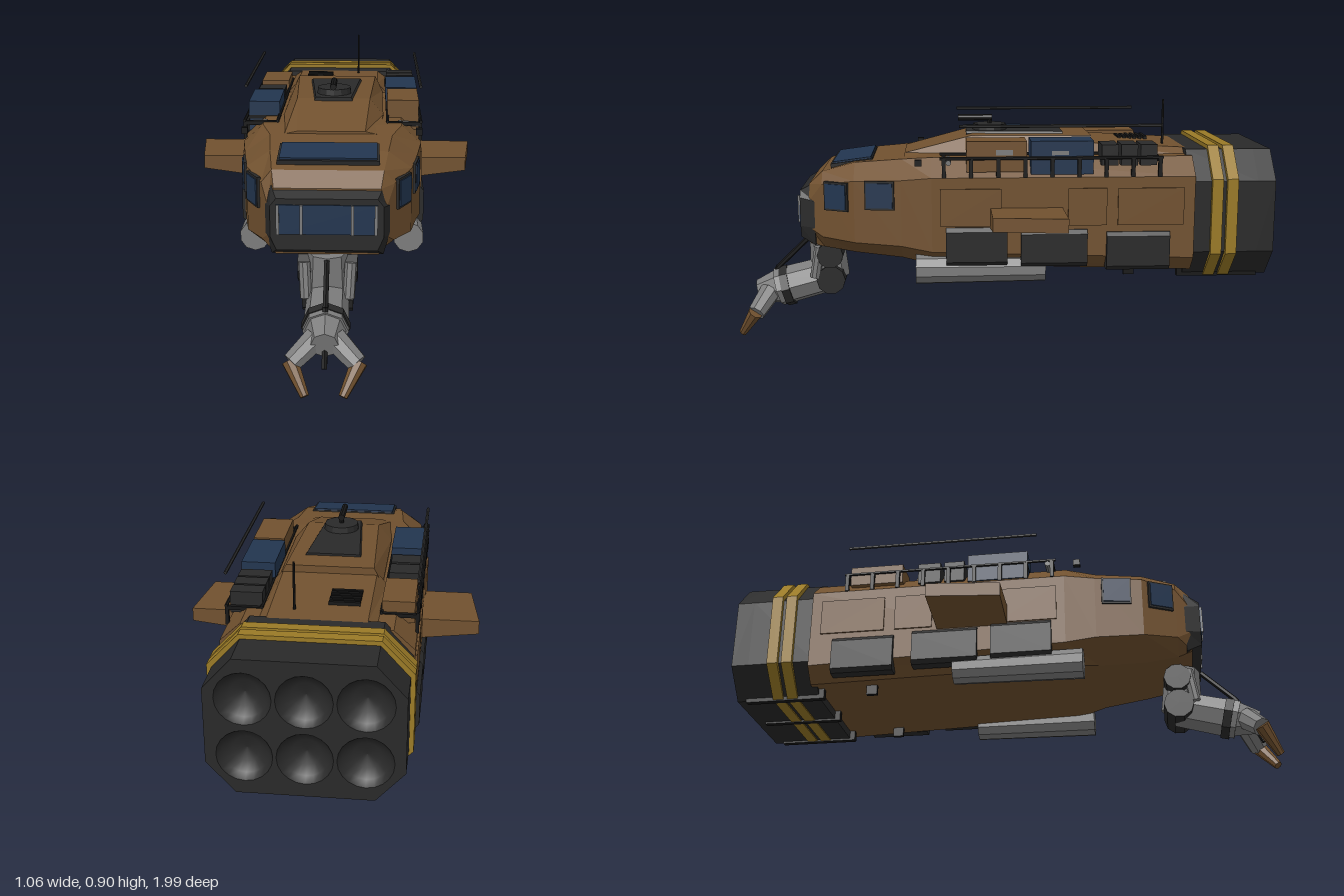
import * as THREE from 'three';

const mat = (name, color, side = THREE.FrontSide) => {
  const m = new THREE.MeshStandardMaterial({ color, side });
  m.name = name;
  return m;
};

export function createModel() {
  const root = new THREE.Group();
  root.name = 'utilityShip';
  const brown = mat('hull brown', 0x71512f);
  const dark = mat('dark panel', 0x292929, THREE.DoubleSide);
  const black = mat('black', 0x161616);
  const blue = mat('blue', 0x22354f);
  const grey = mat('metal grey', 0x7c7c7c);
  const yellow = mat('yellow', 0x9a7a26);

  // faceted normals without touching the material
  const flat = (g) => {
    const f = g.index ? g.toNonIndexed() : g;
    f.computeVertexNormals();
    return f;
  };
  const add = (name, geo, m, parent = root) => {
    const mesh = new THREE.Mesh(geo, m);
    mesh.name = name;
    parent.add(mesh);
    return mesh;
  };
  // box from its min and max along each axis
  const box = (name, m, [x0, x1], [y0, y1], [z0, z1]) => {
    const b = add(name, new THREE.BoxGeometry(Math.abs(x1 - x0), y1 - y0, z1 - z0), m);
    b.position.set((x0 + x1) / 2, (y0 + y1) / 2, (z0 + z1) / 2);
    return b;
  };
  // tapered prism between two points
  const strut = (name, m, a, b, ra, rb = ra, sides = 8) => {
    const A = new THREE.Vector3(...a), B = new THREE.Vector3(...b);
    const s = add(name, flat(new THREE.CylinderGeometry(rb, ra, A.distanceTo(B), sides)), m);
    s.position.copy(A).add(B).multiplyScalar(0.5);
    s.quaternion.setFromUnitVectors(new THREE.Vector3(0, 1, 0), B.sub(A).normalize());
    return s;
  };
  // octagon: top half-width, top y, half-width, shoulder y, lower y, bottom half-width, bottom y
  const octagon = ([wt, yt, w, yu, yl, wb, yb]) =>
    [[wb, yb], [w, yl], [w, yu], [wt, yt], [-wt, yt], [-w, yu], [-w, yl], [-wb, yb]];
  // closed loft through [z, ...octagon] sections, z increasing
  const loft = (name, m, sections) => {
    const rings = sections.map(([z, ...o]) => octagon(o).map(([x, y]) => [x, y, z]));
    const pos = [], n = 8;
    const tri = (...p) => p.forEach((q) => pos.push(...q));
    for (let i = 0; i < rings.length - 1; i++) {
      for (let j = 0; j < n; j++) {
        const k = (j + 1) % n, r = rings[i], q = rings[i + 1];
        tri(r[j], r[k], q[k]);
        tri(r[j], q[k], q[j]);
      }
    }
    const back = rings[0], front = rings[rings.length - 1];
    for (let j = 1; j < n - 1; j++) {
      tri(back[0], back[j + 1], back[j]);
      tri(front[0], front[j], front[j + 1]);
    }
    const g = new THREE.BufferGeometry();
    g.setAttribute('position', new THREE.Float32BufferAttribute(pos, 3));
    g.computeVertexNormals();
    return add(name, g, m);
  };

  // main hull and nose
  loft('hull', brown, [
    [-0.70, 0.25, 0.715, 0.32, 0.65, 0.35, 0.27, 0.295],
    [0.25, 0.25, 0.715, 0.32, 0.65, 0.38, 0.25, 0.32],
    [0.36, 0.215, 0.705, 0.305, 0.64, 0.40, 0.20, 0.335],
    [0.53, 0.20, 0.692, 0.28, 0.635, 0.41, 0.17, 0.35],
    [0.65, 0.185, 0.658, 0.22, 0.615, 0.42, 0.16, 0.37],
    [0.70, 0.175, 0.61, 0.195, 0.55, 0.45, 0.17, 0.385]]);
  loft('noseFrame', dark, [
    [0.68, 0.185, 0.615, 0.205, 0.55, 0.45, 0.185, 0.38],
    [0.735, 0.165, 0.585, 0.185, 0.56, 0.455, 0.165, 0.41]]);
  box('windscreen', blue, [-0.165, 0.165], [0.465, 0.565], [0.734, 0.74]);
  for (const x of [-0.16, -0.083, 0.083, 0.16])
    box('windscreenPost', grey, [x - 0.005, x + 0.005], [0.465, 0.565], [0.737, 0.745]);
  const roofFrame = box('roofWindowFrame', dark, [-0.17, 0.17], [0.665, 0.692], [0.465, 0.62]);
  const roofWindow = box('roofWindow', blue, [-0.163, 0.163], [0.692, 0.698], [0.472, 0.613]);
  roofFrame.rotation.x = roofWindow.rotation.x = 0.13;

  // roof pod: low rear deck and raised front deck
  loft('rearDeck', brown, [
    [-0.69, 0.165, 0.735, 0.2, 0.71, 0.69, 0.2, 0.68],
    [-0.32, 0.165, 0.755, 0.2, 0.715, 0.69, 0.2, 0.68]]);
  loft('raisedDeck', brown, [
    [-0.34, 0.155, 0.78, 0.185, 0.72, 0.69, 0.18, 0.68],
    [0.10, 0.135, 0.78, 0.185, 0.72, 0.69, 0.18, 0.68],
    [0.35, 0.12, 0.715, 0.165, 0.705, 0.69, 0.16, 0.68]]);
  loft('roofHatch', dark, [
    [-0.24, 0.095, 0.788, 0.1, 0.78, 0.77, 0.1, 0.76],
    [0.12, 0.065, 0.788, 0.07, 0.78, 0.77, 0.07, 0.76]]);
  strut('turretDisc', dark, [0, 0.78, 0.03], [0, 0.81, 0.03], 0.066, 0.062, 14);
  strut('turretStem', black, [0, 0.80, 0.03], [0, 0.83, 0.03], 0.008);
  strut('turretBarrel', black, [0, 0.832, 0.02], [0, 0.832, 0.15], 0.012);
  strut('antenna', black, [0.083, 0.73, -0.62], [0.083, 0.905, -0.62], 0.005, 0.004, 6);
  for (let i = 0; i < 6; i++)
    box('ventSlat', black, [-0.13, -0.025], [0.735, 0.753], [-0.58 + i * 0.02, -0.568 + i * 0.02]);

  // rear drive block with yellow bands
  const rear = [0.22, 0.735, 0.315, 0.63, 0.37, 0.22, 0.265];
  const band = [0.225, 0.75, 0.33, 0.64, 0.365, 0.225, 0.26];
  loft('rearBlock', dark, [[-0.93, ...rear], [-0.68, ...rear]]);
  loft('yellowBandBack', yellow, [[-0.855, ...band], [-0.815, ...band]]);
  loft('yellowBandFront', yellow, [[-0.80, ...band], [-0.76, ...band]]);
  const rim = new THREE.Shape(octagon(rear).map(([x, y]) => new THREE.Vector2(x, y)));
  const bowl = new THREE.LatheGeometry([[0, -0.055], [0.045, -0.046], [0.075, -0.025], [0.09, 0]]
    .map(([x, y]) => new THREE.Vector2(x, y)), 20);
  for (const x of [-0.19, 0, 0.19]) for (const y of [0.4, 0.6]) {
    rim.holes.push(new THREE.Path().absarc(x, y, 0.09, 0, Math.PI * 2, true));
    const b = add('thrusterBowl', bowl, dark);
    b.rotation.x = -Math.PI / 2;
    b.position.set(x, y, -0.995);
  }
  add('thrusterRim', new THREE.ExtrudeGeometry(rim,
    { depth: 0.065, bevelEnabled: false, curveSegments: 10 }), dark).position.z = -0.995;
  for (const x of [-0.215, 0, 0.215])
    box('rearSkid', black, [x - 0.012, x + 0.012], [0.258, 0.30], [-0.96, -0.66]);

  // parts on both sides
  for (const s of [1, -1]) {
    const side = (a, b) => (s > 0 ? [a, b] : [-b, -a]);
    strut('sideTank', grey, [s * 0.28, 0.31, -0.16], [s * 0.28, 0.31, 0.31], 0.05, 0.056, 10);
    [[0.2, -0.02, 0.33, 0.47], [-0.07, -0.31, 0.325, 0.46], [-0.38, -0.61, 0.31, 0.45]]
      .forEach(([z1, z0, y0, y1]) => loft('sidePod', dark, [
        [z0, 0.02, y1, 0.032, y1 - 0.015, y0 + 0.015, 0.02, y0],
        [z1, 0.02, y1, 0.032, y1 - 0.015, y0 + 0.015, 0.02, y0]]).position.x = s * 0.305);
    [[0.22, 0.0], [-0.24, -0.38], [-0.42, -0.66]].forEach(([z1, z0]) =>
      box('sidePanel', brown, side(0.3, 0.326), [0.475, 0.61], [z0, z1]));

    // wing swept along its front edge
    const wing = new THREE.Shape([[0.28, -0.04], [0.5, -0.04], [0.53, 0.22], [0.28, 0.22]]
      .map(([x, y]) => new THREE.Vector2(s * x, y)));
    const wg = new THREE.ExtrudeGeometry(wing, { depth: 0.05, bevelEnabled: false });
    wg.rotateX(-Math.PI / 2);
    const p = wg.attributes.position;
    for (let i = 0; i < p.count; i++)
      if (p.getY(i) < 0.01 && Math.abs(p.getX(i)) < 0.4) p.setY(i, -0.03);
    wg.computeVertexNormals();
    add('wing', wg, brown).position.y = 0.49;

    // cockpit side windows
    [[0.295, 0.585, 0.437, 0.095, 0.146], [0.25, 0.575, 0.595, 0.085, 0.464]]
      .forEach(([x, y, z, w, a]) => {
        const frame = add('sideWindowFrame', new THREE.BoxGeometry(0.014, 0.105, w + 0.012), dark);
        const pane = add('sideWindow', new THREE.BoxGeometry(0.022, 0.09, w), blue);
        for (const m of [frame, pane]) {
          m.position.set(s * x, y, z);
          m.rotation.y = -s * a;
        }
      });

    // roof racks, rods and lamps
    for (const x of [0.2, 0.32])
      strut('rackRail', black, [s * x, 0.72, -0.58], [s * x, 0.72, 0.22], 0.006, 0.006, 6);
    for (let i = 0; i < 9; i++) {
      const z = -0.57 + i * 0.097;
      box('rackBar', black, side(0.195, 0.325), [0.705, 0.718], [z - 0.007, z + 0.007]);
      box('rackPost', black, side(0.313, 0.325), [0.65, 0.718], [z - 0.007, z + 0.007]);
    }
    strut('roofRod', dark, [s * 0.32, 0.835, -0.57], [s * 0.32, 0.835, 0.15], 0.006, 0.006, 6);
    box('lamp', black, side(0.3, 0.322), [0.693, 0.716], [0.285, 0.31]);
    strut('tool', grey, [s * 0.24, 0.71, 0.19], [s * 0.325, 0.705, 0.19], 0.01);
    box('landingStub', black, side(0.205, 0.222), [0.265, 0.32], [-0.5, -0.46]);
  }

  // cargo: near and far racks differ
  box('brownCrate', brown, [0.2, 0.315], [0.67, 0.78], [-0.09, 0.125]);
  box('blueCrate', blue, [0.195, 0.315], [0.66, 0.78], [-0.33, -0.105]);
  for (let i = 0; i < 3; i++)
    box('darkCrate', dark, [0.2, 0.31], [0.69, 0.765], [-0.56 + i * 0.07, -0.5 + i * 0.07]);
  box('crateLabel', grey, [0.314, 0.319], [0.73, 0.75], [-0.04, 0.02]);
  box('crateLabel', grey, [0.314, 0.319], [0.73, 0.745], [-0.24, -0.18]);
  box('blueCrate', blue, [-0.315, -0.2], [0.66, 0.77], [-0.11, 0.115]);
  box('darkCrate', dark, [-0.31, -0.205], [0.67, 0.75], [-0.2, -0.125]);
  box('darkCrate', dark, [-0.31, -0.205], [0.67, 0.75], [-0.3, -0.215]);
  box('brownCrate', brown, [-0.31, -0.2], [0.68, 0.755], [-0.56, -0.36]);

  // manipulator arm
  strut('shoulderMount', dark, [-0.1, 0.32, 0.64], [0.1, 0.32, 0.64], 0.05, 0.05, 10);
  strut('upperArm', grey, [0, 0.38, 0.66], [0, 0.22, 0.65], 0.065, 0.075);
  strut('elbow', dark, [-0.085, 0.22, 0.64], [0.085, 0.22, 0.64], 0.055, 0.055, 10);
  strut('forearm', grey, [0, 0.23, 0.64], [0, 0.175, 0.85], 0.07, 0.075);
  strut('wristCollar', dark, [0, 0.185, 0.80], [0, 0.178, 0.83], 0.08);
  strut('wrist', grey, [0, 0.18, 0.84], [0, 0.16, 0.925], 0.07, 0.045);
  strut('armCable', black, [0, 0.37, 0.73], [0, 0.255, 0.85], 0.01, 0.01, 6);
  strut('armCable', black, [0, 0.255, 0.85], [0, 0.085, 0.94], 0.01, 0.01, 6);
  for (const s of [1, -1]) {
    strut('upperArmPiston', grey, [s * 0.078, 0.35, 0.68], [s * 0.072, 0.23, 0.70], 0.02);
    strut('clawKnuckle', grey, [s * 0.03, 0.165, 0.88], [s * 0.105, 0.10, 0.925], 0.042, 0.034);
    strut('clawFinger', brown, [s * 0.11, 0.105, 0.925], [s * 0.06, 0.012, 0.985], 0.028, 0.015);
  }
  return root;
}
